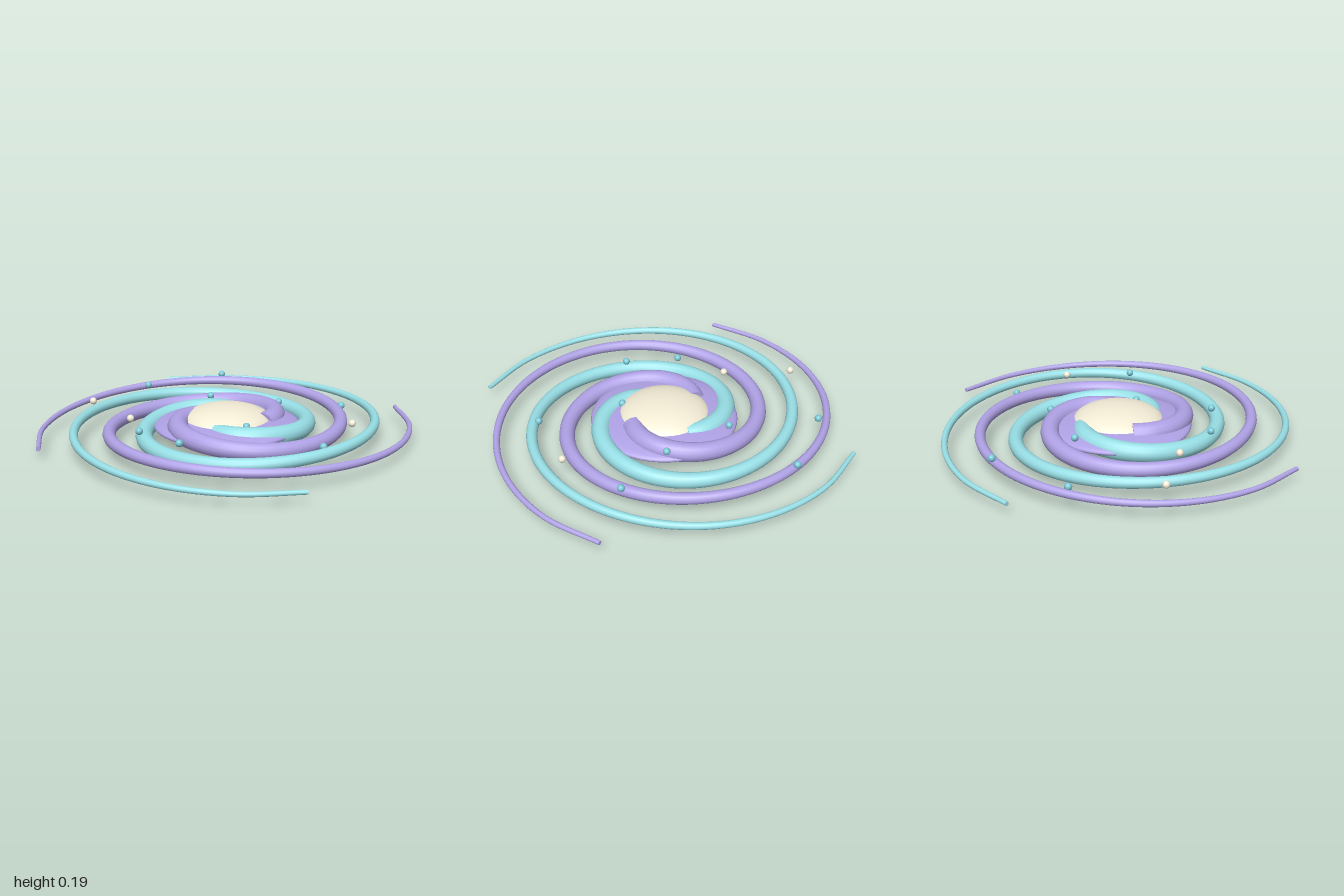
import * as THREE from 'three';

const lavender = new THREE.MeshStandardMaterial({ color: 0xb0a2e6 });
const teal = new THREE.MeshStandardMaterial({ color: 0x98dfe6 });
const cream = new THREE.MeshStandardMaterial({ color: 0xf3ecd6 });
const starBlue = new THREE.MeshStandardMaterial({ color: 0x7cc8d6 });

const MID = 0.0975;
const TURN = 397 * Math.PI / 180;
const R_IN = 0.215, R_OUT = 1.094;
const armRadius = u => THREE.MathUtils.lerp(0.065, 0.012, u);

function addMesh(parent, name, geometry, material, x = 0, y = 0, z = 0) {
  const mesh = new THREE.Mesh(geometry, material);
  mesh.name = name;
  mesh.position.set(x, y, z);
  parent.add(mesh);
  return mesh;
}

// One spiral arm: a tube along a linear spiral, thinning towards its tip
function spiralArm(endAngle, lift, material) {
  const arm = new THREE.Group();
  arm.name = 'spiralArm';
  const points = [];
  const count = 21;
  for (let i = 0; i <= count; i++) {
    const t = i / count;
    const back = TURN * (1 - t);
    const a = endAngle + back;
    const r = THREE.MathUtils.lerp(R_IN, R_OUT, t);
    const y = 0.085 - 0.018 * Math.cos(1.5 * back) + lift * (1 - t);
    points.push(new THREE.Vector3(r * Math.cos(a), y, r * Math.sin(a)));
  }
  const curve = new THREE.CatmullRomCurve3(points);
  const segments = 120, sides = 14;
  const tube = new THREE.TubeGeometry(curve, segments, 1, sides);
  const pos = tube.attributes.position;
  const v = new THREE.Vector3();
  for (let i = 0; i <= segments; i++) {
    const c = curve.getPointAt(i / segments);
    // the thickness follows the distance from the centre
    const u = THREE.MathUtils.clamp((Math.hypot(c.x, c.z) - R_IN) / (R_OUT - R_IN), 0, 1);
    for (let j = 0; j <= sides; j++) {
      const k = i * (sides + 1) + j;
      v.fromBufferAttribute(pos, k).sub(c).multiplyScalar(armRadius(u)).add(c);
      pos.setXYZ(k, v.x, v.y, v.z);
    }
  }
  tube.computeBoundingSphere();
  addMesh(arm, 'armTube', tube, material);

  // flat ends
  for (const u of [0, 1]) {
    const p = curve.getPointAt(u);
    const dir = curve.getTangentAt(u).multiplyScalar(u ? 1 : -1);
    const cap = addMesh(arm, 'armEnd', new THREE.CircleGeometry(armRadius(u), sides), material, p.x, p.y, p.z);
    cap.quaternion.setFromUnitVectors(new THREE.Vector3(0, 0, 1), dir);
  }
  return arm;
}

export function createModel() {
  const model = new THREE.Group();
  model.name = 'spiralGalaxy';

  // Bright core and the flat haze around it
  addMesh(model, 'core', new THREE.SphereGeometry(0.265, 40, 24).scale(1, MID / 0.265, 1), cream, 0, MID, 0);
  addMesh(model, 'innerDisc', new THREE.SphereGeometry(0.42, 48, 20).scale(1, 0.055 / 0.42, 1), lavender, 0, 0.085, 0);

  // Four arms a quarter turn apart, in alternating colours
  for (let i = 0; i < 4; i++) {
    const isTeal = i % 2 === 0;
    const angle = (36.4 + 90 * i) * Math.PI / 180;
    model.add(spiralArm(angle, isTeal ? -0.012 : 0.008, isTeal ? teal : lavender));
  }

  // Scattered stars
  const star = new THREE.SphereGeometry(0.021, 16, 12);
  const blueStars = [
    [-0.5, 0.14, -0.72], [-0.81, 0.11, -0.34], [-0.29, 0.14, -0.27], [0.12, 0.14, -0.38], [0.44, 0.12, -0.57],
    [0.21, 0.14, 0.13], [0.7, 0.12, 0.15], [0.05, 0.135, 0.55], [-0.26, 0.13, 0.49],
  ];
  const creamStars = [[0.67, 0.135, -0.25], [-0.86, 0.12, 0.15], [-0.48, 0.11, 0.28]];
  blueStars.forEach(p => addMesh(model, 'blueStar', star, starBlue, ...p));
  creamStars.forEach(p => addMesh(model, 'creamStar', star, cream, ...p));

  return model;
}
